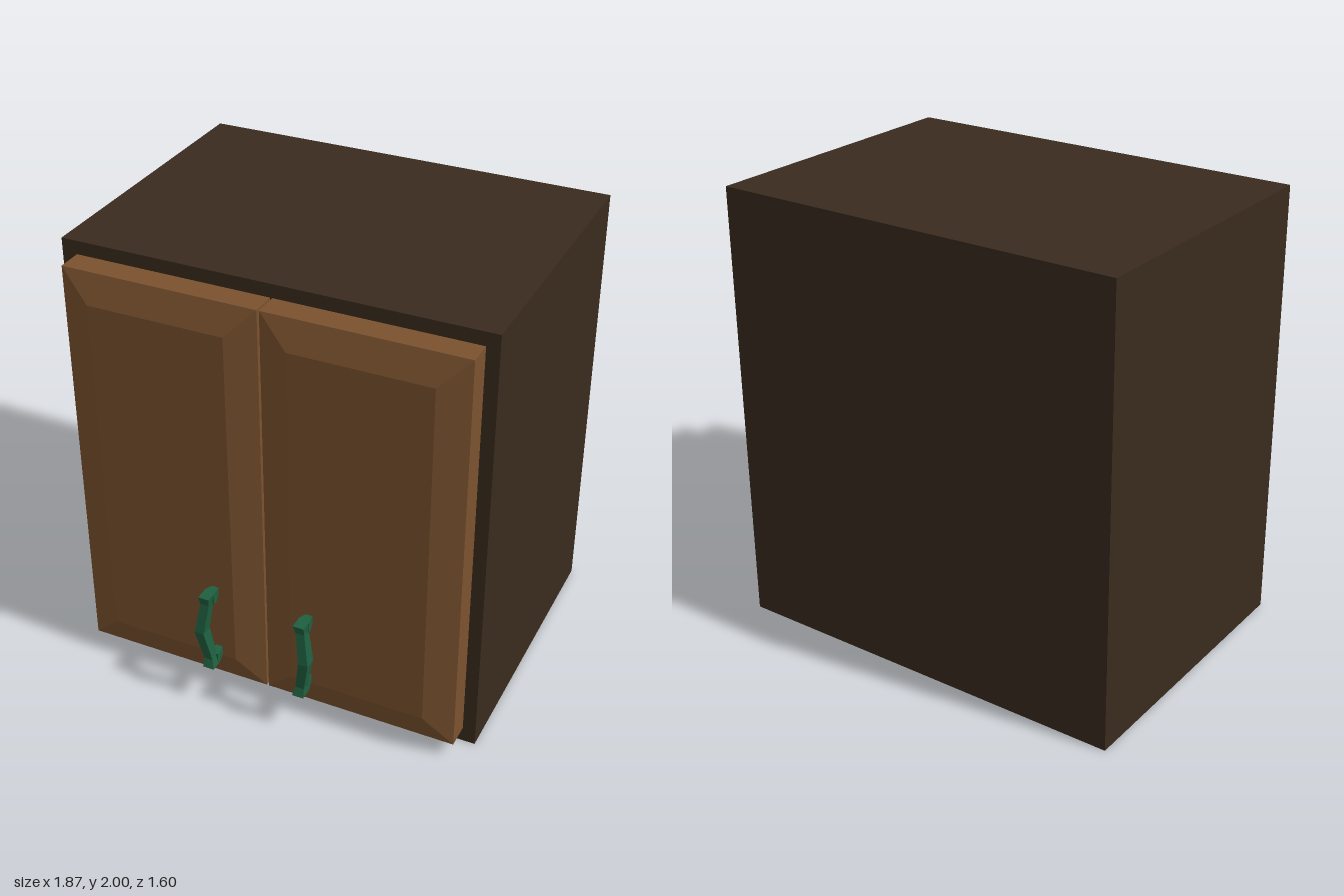
import * as THREE from 'three';
import { mergeGeometries } from 'three/addons/utils/BufferGeometryUtils.js';

const mat = (color) => new THREE.MeshStandardMaterial({ color, flatShading: true });

// Skin a row of four-cornered rings, with both ends capped.
function loft(rings) {
  const pos = [];
  const quad = (a, b, c, d) => pos.push(...a, ...b, ...c, ...a, ...c, ...d);
  for (let r = 0; r < rings.length - 1; r++) {
    const p = rings[r], q = rings[r + 1];
    for (let i = 0; i < 4; i++) {
      const j = (i + 1) % 4;
      quad(p[i], p[j], q[j], q[i]);
    }
  }
  quad(...[...rings[0]].reverse());
  quad(...rings[rings.length - 1]);
  const geo = new THREE.BufferGeometry();
  geo.setAttribute('position', new THREE.Float32BufferAttribute(pos, 3));
  geo.computeVertexNormals();
  return geo;
}

// Rectangular rings facing +z and +y
const ringZ = (x0, x1, y0, y1, z) => [[x0, y0, z], [x1, y0, z], [x1, y1, z], [x0, y1, z]];
const ringY = (x0, x1, z0, z1, y) => [[x0, y, z1], [x1, y, z1], [x1, y, z0], [x0, y, z0]];

export function createModel() {
  const group = new THREE.Group();
  const add = (name, geo, material) => {
    const mesh = new THREE.Mesh(geo, material);
    mesh.name = name;
    group.add(mesh);
  };
  const carcassMat = mat(0x3a2b1e), doorMat = mat(0x7b522e), handleMat = mat(0x1f6040);

  // Carcass, with a shallow recess framed by a rim underneath
  const W = 0.937, back = -0.8, front = 0.533, rim = 0.07;
  const depth = front - back, midZ = (front + back) / 2;
  const body = new THREE.BoxGeometry(W * 2, 2 - rim, depth);
  body.translate(0, 1 + rim / 2, midZ);
  add('cabinetBody', body, carcassMat);

  const rect = (Type, hx, hy) => new Type([[-hx, -hy], [hx, -hy], [hx, hy], [-hx, hy]]
    .map(([x, y]) => new THREE.Vector2(x, y)));
  const frame = rect(THREE.Shape, W, depth / 2);
  frame.holes.push(rect(THREE.Path, W - rim, depth / 2 - rim));
  const rimGeo = new THREE.ExtrudeGeometry(frame, { depth: rim, bevelEnabled: false });
  rimGeo.rotateX(-Math.PI / 2);
  rimGeo.translate(0, 0, midZ);
  add('bottomRim', rimGeo, carcassMat);

  // Doors with a wide chamfer around a raised flat panel
  const bevel = 0.13;
  for (const [name, x0, x1] of [['rightDoor', -0.87, 0], ['leftDoor', 0.01, 0.88]]) {
    add(name, loft([
      ringZ(x0, x1, 0.07, 1.94, front),
      ringZ(x0, x1, 0.07, 1.94, 0.645),
      ringZ(x0 + bevel, x1 - bevel, 0.07 + bevel, 1.94 - bevel, 0.685),
    ]), doorMat);
  }

  // Handles: a bowed bar on two flared posts; rows are y, centre x, width, inner z, outer z
  const bar = [
    [0.203, 0.208, 0.052, 0.735, 0.79],
    [0.245, 0.212, 0.04, 0.735, 0.778],
    [0.395, 0.239, 0.044, 0.745, 0.8],
    [0.54, 0.217, 0.04, 0.735, 0.778],
    [0.583, 0.215, 0.05, 0.735, 0.79],
  ];
  for (const [name, side, shift] of [['rightHandle', -1, 0], ['leftHandle', 1, 0.015]]) {
    const parts = [loft(bar.map(([y, cx, w, z0, z1]) => {
      const x = side * cx + shift;
      return ringY(x - w / 2, x + w / 2, z0, z1, y);
    }))];
    // Posts narrow towards the door: centre x, then y range at door and at bar
    for (const [cx, a0, a1, b0, b1] of [[0.208, 0.212, 0.25, 0.203, 0.255], [0.215, 0.537, 0.572, 0.528, 0.583]]) {
      const x = side * cx + shift;
      parts.push(loft([
        ringZ(x - 0.014, x + 0.014, a0, a1, 0.68),
        ringZ(x - 0.025, x + 0.025, b0, b1, 0.725),
        ringZ(x - 0.025, x + 0.025, b0, b1, 0.745),
      ]));
    }
    add(name, mergeGeometries(parts), handleMat);
  }
  return group;
}
